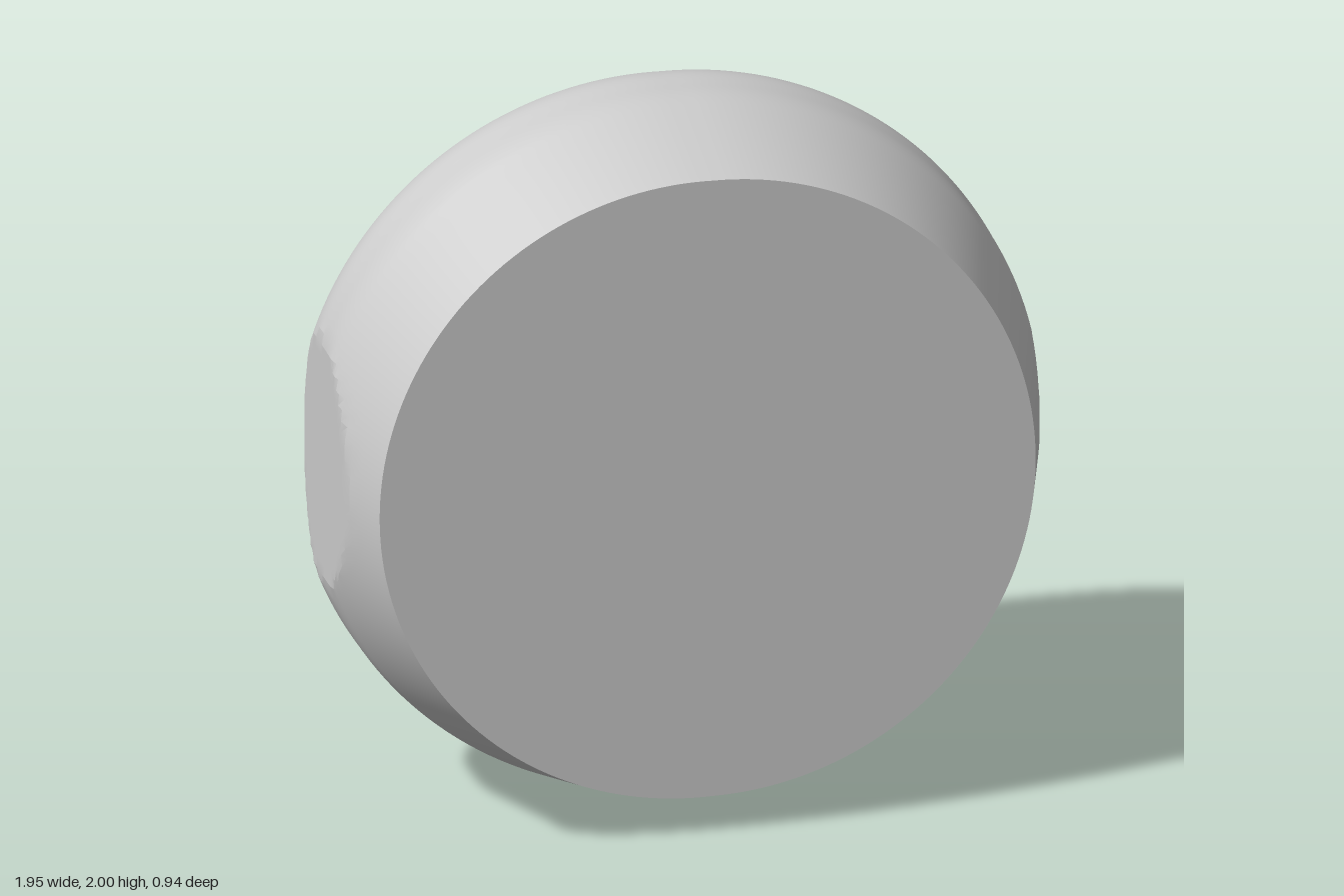
import * as THREE from 'three';
import { toCreasedNormals } from 'three/addons/utils/BufferGeometryUtils.js';

const grey = new THREE.MeshStandardMaterial({ color: 0xcccccc });
grey.name = 'plain grey';

// Curved wall of the body as [radius, z], from the back plateau to the front rim
const WALL = [
  [0.6, -0.435], [0.67, -0.42], [0.74, -0.395], [0.78, -0.366], [0.885, -0.26],
  [0.965, -0.15], [0.998, -0.06], [1, 0.03], [0.996, 0.11], [0.972, 0.2], [0.893, 0.47],
];

function createBody() {
  const wall = new THREE.SplineCurve(WALL.map(([r, z]) => new THREE.Vector2(r, z)));
  const profile = [
    new THREE.Vector2(0, -0.47),
    new THREE.Vector2(0.3, -0.468),
    new THREE.Vector2(0.45, -0.454),
    ...wall.getPoints(70),
    new THREE.Vector2(0, 0.47), // flat front
  ];
  const geometry = new THREE.LatheGeometry(profile, 192);
  geometry.rotateX(Math.PI / 2);

  const p = geometry.attributes.position;
  for (let i = 0; i < p.count; i++) {
    let x = p.getX(i);
    const y = p.getY(i), z = p.getZ(i);
    const r = Math.hypot(x, y);
    // The -x half swells slightly
    const swell = r > 0 ? 1 + 0.037 * Math.max(0, -x / r) : 1;
    x *= swell;
    // The back plateau sits a little off centre
    if (z < -0.43) x -= 0.05 * THREE.MathUtils.clamp((0.6 - r) / 0.3, 0, 1);
    // Flat cuts on both sides
    p.setXYZ(i, THREE.MathUtils.clamp(x, -0.975, 0.97), y * swell, z);
  }
  return toCreasedNormals(geometry, 0.2);
}

export function createModel() {
  const model = new THREE.Group();
  model.name = 'roundedDisc';
  const body = new THREE.Mesh(createBody(), grey);
  body.name = 'body';
  body.position.y = 1;
  model.add(body);
  return model;
}
